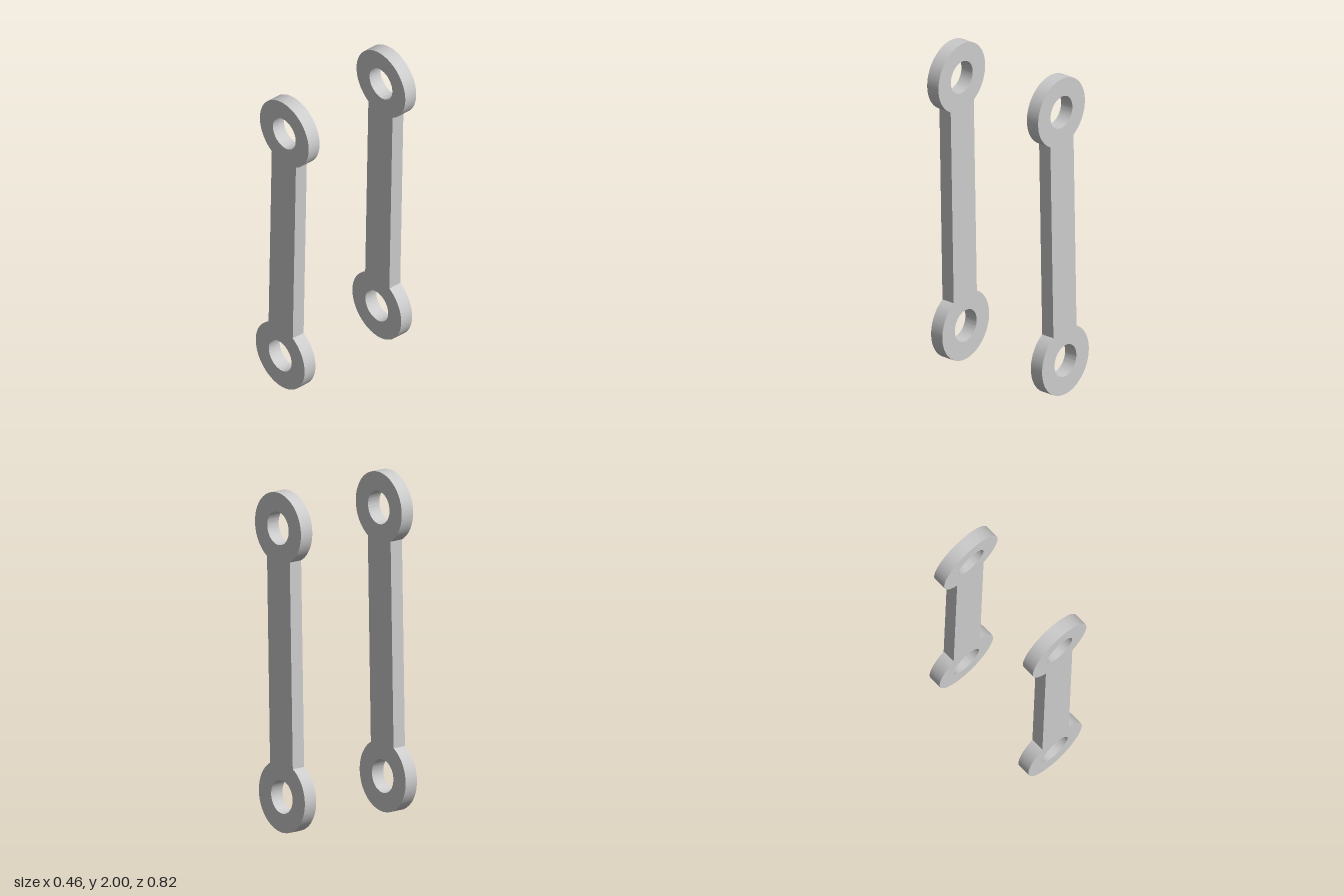
import * as THREE from 'three';
import { toCreasedNormals } from 'three/addons/utils/BufferGeometryUtils.js';

const EYE_RADIUS = 0.21;
const HOLE_RADIUS = 0.098;
const HALF_BAR = 0.104;   // half width of the straight bar
const HALF_SPAN = 0.79;   // from the link's middle to each eye centre
const THICKNESS = 0.083;
const LEAN = Math.atan(0.0178 / HALF_SPAN);

// Outline of one link: two round eyes joined by a straight bar
function linkGeometry() {
  const a = Math.asin(HALF_BAR / EYE_RADIUS);
  const shape = new THREE.Shape();
  shape.absarc(0, HALF_SPAN, EYE_RADIUS, -Math.PI / 2 + a, Math.PI * 1.5 - a, false);
  shape.absarc(0, -HALF_SPAN, EYE_RADIUS, Math.PI / 2 + a, Math.PI * 2.5 - a, false);
  shape.closePath();

  // Pin holes
  for (const y of [HALF_SPAN, -HALF_SPAN]) {
    const hole = new THREE.Path();
    hole.absarc(0, y, HOLE_RADIUS, 0, Math.PI * 2, true);
    shape.holes.push(hole);
  }

  const geometry = new THREE.ExtrudeGeometry(shape, {
    depth: THICKNESS, bevelEnabled: false, curveSegments: 40,
  });
  geometry.translate(0, 0, -THICKNESS / 2);
  geometry.rotateZ(-LEAN);
  return toCreasedNormals(geometry, 0.5);
}

export function createModel() {
  const group = new THREE.Group();
  group.name = 'linkPair';
  const material = new THREE.MeshStandardMaterial({ color: 0xcccccc });
  const geometry = linkGeometry();

  // Two parallel link plates, front and back
  for (const [name, z] of [['frontLink', 0.368], ['backLink', -0.368]]) {
    const link = new THREE.Mesh(geometry, material);
    link.name = name;
    link.position.set(0, 1, z);
    group.add(link);
  }
  return group;
}
